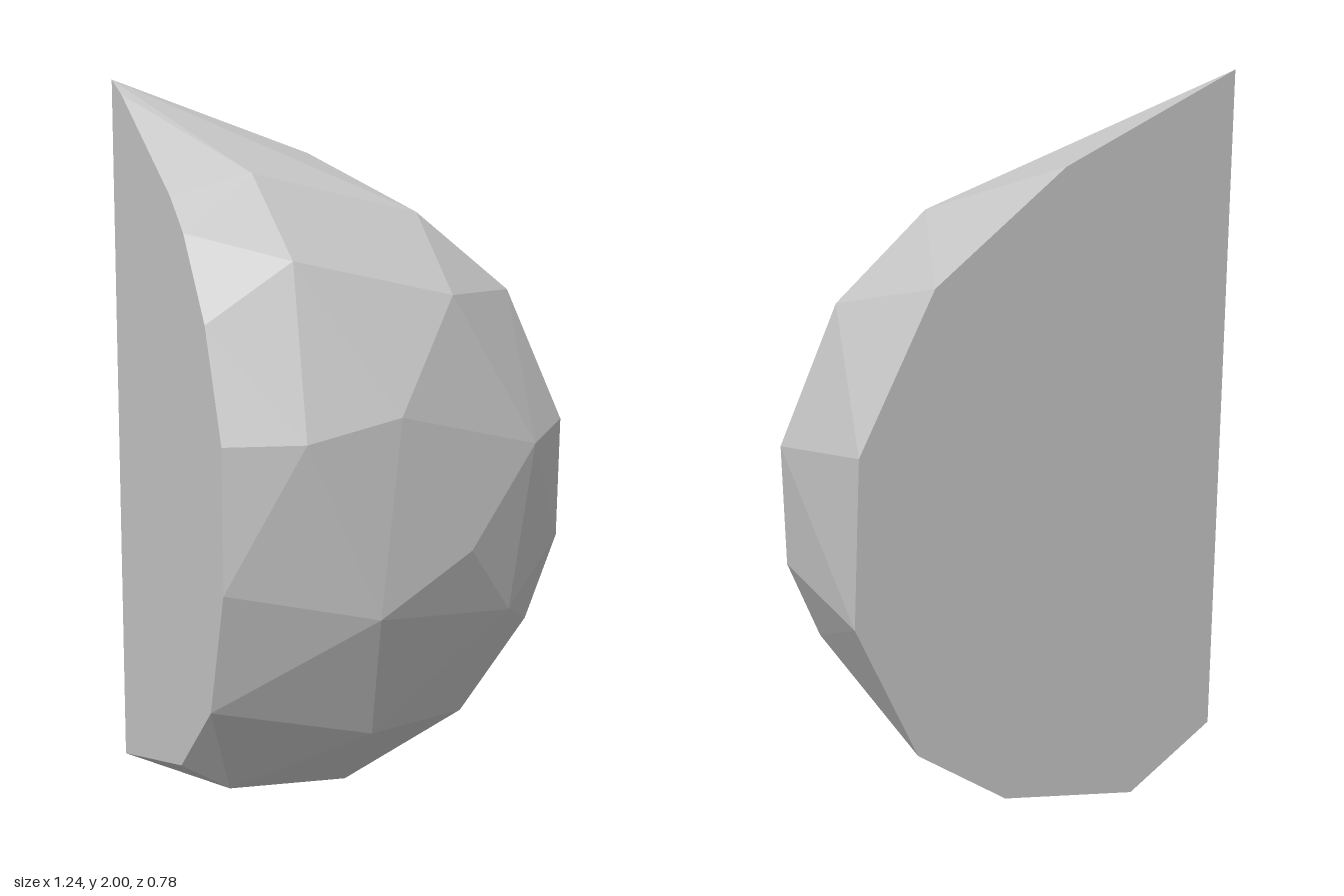
import * as THREE from 'three';
import { ConvexGeometry } from 'three/addons/geometries/ConvexGeometry.js';

export function createModel() {
  const group = new THREE.Group();
  group.name = 'cutRock';
  const stone = new THREE.MeshStandardMaterial({ color: 0xc8c8c8, flatShading: true });
  stone.name = 'light grey stone';

  // outline of the flat back (x, y)
  const back = [
    [-0.62, 2], [-0.04, 1.805], [0.37, 1.555], [0.6, 1.175], [0.62, 0.74],
    [0.43, 0.345], [0.14, 0.13], [-0.32, 0], [-0.62, 0.13],
  ].map(([x, y]) => [x, y, -0.39]);

  // outline of the flat cut side (y, z)
  const side = [
    [1.96, -0.32], [1.7, 0.015], [1.61, 0.1], [1.39, 0.23], [1.1, 0.325],
    [0.73, 0.325], [0.41, 0.235], [0.215, 0.03],
  ].map(([y, z]) => [-0.62, y, z]);

  // corners of the rounded, chipped face (x, y, z)
  const face = [
    [-0.4, 1.755, 0.03], [0.08, 1.65, 0.03], [0.355, 1.435, 0.05],
    [-0.38, 1.54, 0.23], [0.08, 1.44, 0.23],
    [-0.42, 1.1, 0.39], [-0.15, 1.15, 0.38], [0.34, 1.03, 0.23], [0.51, 1.07, 0.09],
    [0.08, 0.78, 0.34], [0.5, 0.74, 0.09], [-0.21, 0.635, 0.38],
    [0.26, 0.58, 0.23], [0.4, 0.51, 0.09], [-0.16, 0.29, 0.23], [0.19, 0.27, 0.09],
    [-0.5, 0.145, 0.07], [-0.16, 0.12, 0.07],
  ];

  const points = [...back, ...side, ...face].map((p) => new THREE.Vector3(...p));
  const rock = new THREE.Mesh(new ConvexGeometry(points), stone);
  rock.name = 'rock';
  group.add(rock);
  return group;
}
